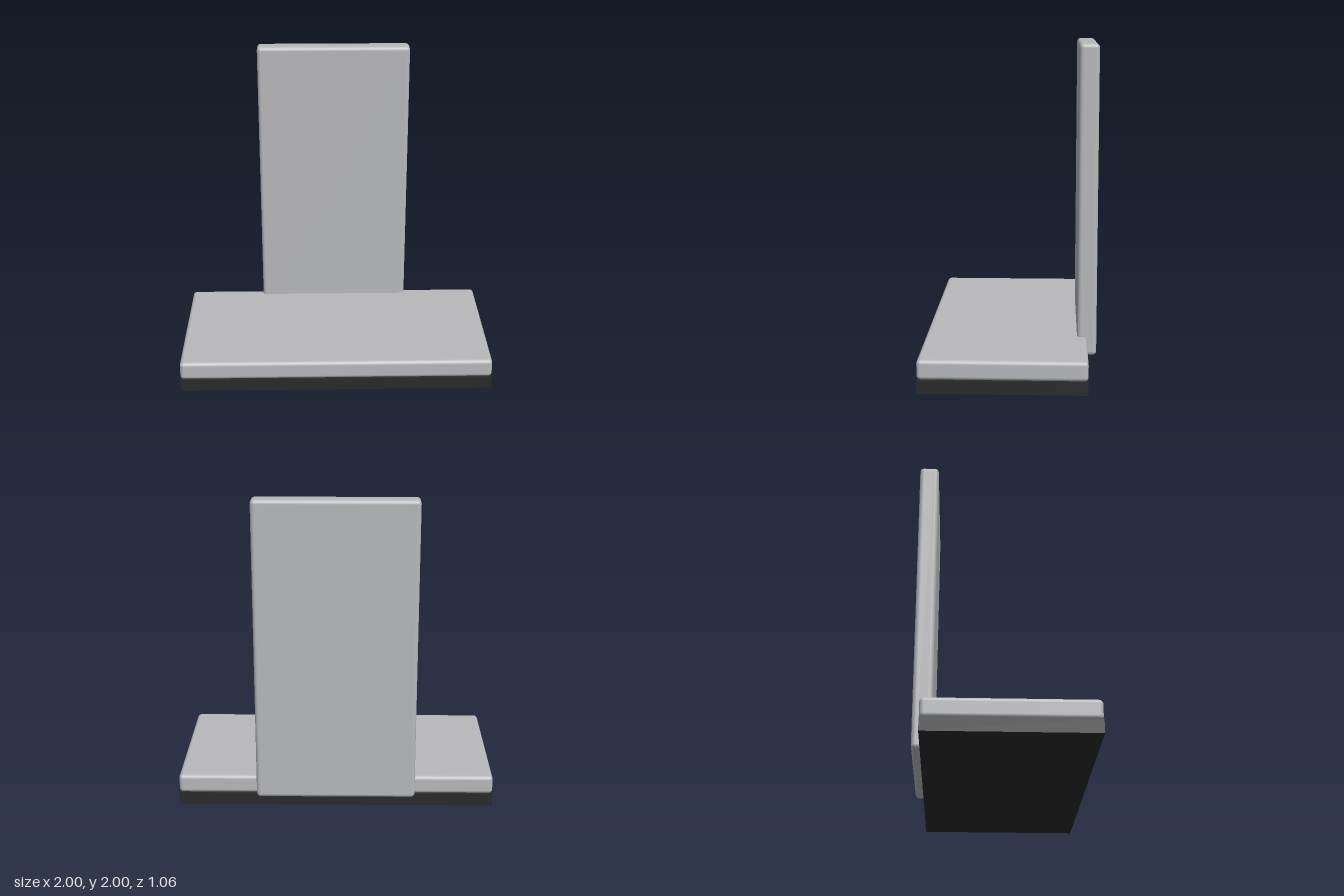
import * as THREE from 'three';
import { RoundedBoxGeometry } from 'three/addons/geometries/RoundedBoxGeometry.js';

export function createModel() {
  const group = new THREE.Group();
  const grey = new THREE.MeshStandardMaterial({ color: 0xb8b9bc });
  grey.name = 'light grey';
  const black = new THREE.MeshStandardMaterial({ color: 0x2a2a2a });
  black.name = 'soft black';

  const add = (name, geometry, material, x, y, z) => {
    const mesh = new THREE.Mesh(geometry, material);
    mesh.name = name;
    mesh.position.set(x, y, z);
    group.add(mesh);
  };

  const bevel = 0.025;
  // Sharp-edged plinth
  add('plinth', new THREE.BoxGeometry(2, 0.08, 1), black, 0, 0.04, 0.03);
  // Rounded slab lying on the plinth
  add('seatSlab', new RoundedBoxGeometry(2, 0.12, 1, 4, bevel), grey, 0, 0.14, 0.03);
  // Upright rounded panel, overhanging the rear edge
  add('backPanel', new RoundedBoxGeometry(1, 1.92, 0.12, 4, bevel), grey, 0, 1.04, -0.47);

  return group;
}
